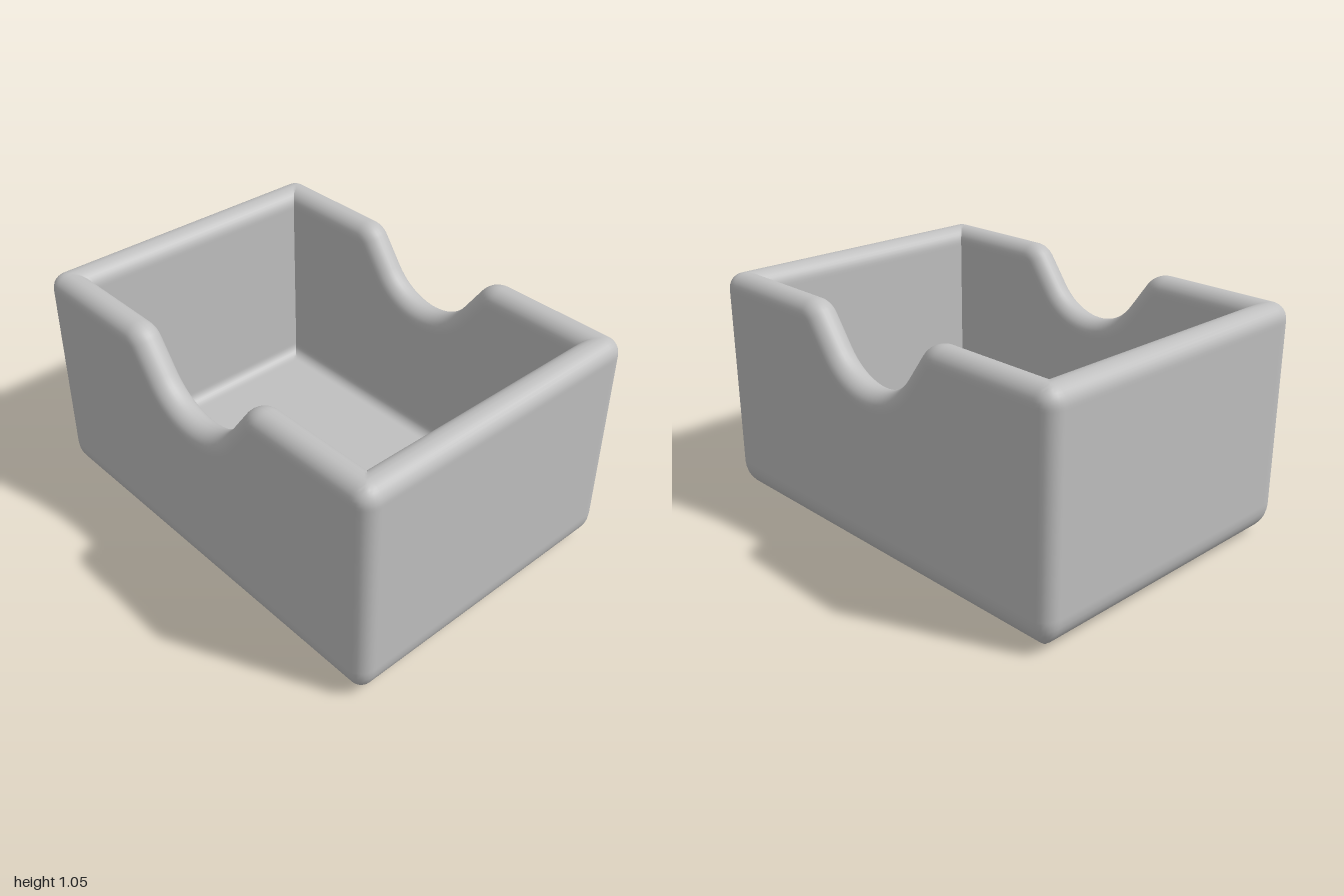
import * as THREE from 'three';
import { toCreasedNormals } from 'three/addons/utils/BufferGeometryUtils.js';

const W = 1, D = 0.72, H = 1.05;   // half width, half depth, height
const T = 0.145;                   // wall thickness
const R = 0.07;                    // rim and upright corner rounding
const B = 0.14;                    // bottom edge rounding
const FLOOR = 0.13, F = 0.05;      // inside floor height and its fillet
const GAP = 0.012;                 // keeps flat faces flat beside roundings

// Notch outline from +x to -x: point and upward normal of the rim
function notchOutline() {
  const slope = 0.942, r1 = 0.11, r2 = 0.28, x1 = 0.406, y2 = 0.765 + r2, half = [];
  for (let i = 0; i <= 6; i++) {
    const a = slope * i / 6;
    half.push({ x: x1 - r1 * Math.sin(a), y: H - r1 * (1 - Math.cos(a)), nx: -Math.sin(a), ny: Math.cos(a) });
  }
  for (let i = 0; i <= 10; i++) {
    const a = slope * (1 - i / 10);
    half.push({ x: r2 * Math.sin(a), y: y2 - r2 * Math.cos(a), nx: -Math.sin(a), ny: Math.cos(a) });
  }
  half.unshift({ x: x1 + GAP, y: H, nx: 0, ny: 1 });
  const other = half.slice(0, -1).reverse().map(p => ({ ...p, x: -p.x, nx: -p.nx }));
  return [...half, ...other];
}

// Stations around the box, from +x towards +z
function makeStations() {
  const list = [], notch = notchOutline();
  for (let c = 0; c < 4; c++) {
    const sx = c === 0 || c === 3 ? 1 : -1, sz = c < 2 ? 1 : -1;
    const alongX = c % 2 === 1;
    const before = alongX ? [-sx * GAP, 0] : [0, -sz * GAP];
    const after = alongX ? [0, -sz * GAP] : [-sx * GAP, 0];
    const start = c * Math.PI / 2;
    list.push({ sx, sz, a: start, shift: before });
    for (let i = 0; i <= 6; i++) list.push({ sx, sz, a: start + Math.PI / 12 * i, shift: [0, 0] });
    list.push({ sx, sz, a: start + Math.PI / 2, shift: after });
    if (c === 0) for (const p of notch) list.push({ p, side: 1 });
    if (c === 2) for (const p of [...notch].reverse()) list.push({ p, side: -1 });
  }
  return list;
}

// Profile rows: inset e, with fixed height y or depth d below the rim
function makeProfile() {
  const rows = [{ e: B + GAP, y: 0 }], n = 8;
  const quarter = i => Math.PI / 2 * i / n;
  for (let i = 0; i <= n; i++) rows.push({ e: B * (1 - Math.sin(quarter(i))), y: B * (1 - Math.cos(quarter(i))) });
  rows.push({ e: 0, y: B + GAP }, { e: 0, d: R + GAP });
  for (let i = 0; i <= n; i++) rows.push({ e: R * (1 - Math.cos(quarter(i))), d: R * (1 - Math.sin(quarter(i))) });
  for (let i = n; i >= 0; i--) rows.push({ e: T - R * (1 - Math.cos(quarter(i))), d: R * (1 - Math.sin(quarter(i))) });
  rows.push({ e: T, d: R + GAP }, { e: T, y: FLOOR + F + GAP });
  for (let i = 0; i <= n; i++) rows.push({ e: T + F * (1 - Math.cos(quarter(i))), y: FLOOR + F * (1 - Math.sin(quarter(i))) });
  rows.push({ e: T + F + GAP, y: FLOOR });
  return rows;
}

function place(s, row) {
  if (s.p) { // on the notched front or back wall
    const d = row.d ?? 0;
    return [s.p.x - s.p.nx * d, row.y ?? s.p.y - s.p.ny * d, s.side * (D - row.e)];
  }
  const inset = Math.max(row.e, R), r = Math.max(R - row.e, 0);
  return [
    s.sx * (W - inset) + r * Math.cos(s.a) + s.shift[0],
    row.y ?? H - row.d,
    s.sz * (D - inset) + r * Math.sin(s.a) + s.shift[1],
  ];
}

function trayGeometry() {
  const stations = makeStations(), rows = makeProfile(), pos = [];
  const grid = rows.map(row => stations.map(s => new THREE.Vector3(...place(s, row))));
  const ab = new THREE.Vector3(), ac = new THREE.Vector3();
  const tri = (a, b, c) => {
    ab.subVectors(b, a);
    ac.subVectors(c, a);
    if (ab.cross(ac).length() < 1e-9) return; // skip collapsed corners
    for (const v of [a, b, c]) pos.push(v.x, v.y, v.z);
  };
  const n = stations.length, last = grid[rows.length - 1];
  const under = new THREE.Vector3(0, 0, 0), floor = new THREE.Vector3(0, FLOOR, 0);
  for (let i = 0; i < n; i++) {
    const k = (i + 1) % n;
    for (let j = 0; j < rows.length - 1; j++) {
      tri(grid[j][i], grid[j + 1][i], grid[j][k]);
      tri(grid[j + 1][i], grid[j + 1][k], grid[j][k]);
    }
    tri(under, grid[0][i], grid[0][k]);
    tri(floor, last[k], last[i]);
  }
  const g = new THREE.BufferGeometry();
  g.setAttribute('position', new THREE.Float32BufferAttribute(pos, 3));
  return toCreasedNormals(g, 0.6);
}

export function createModel() {
  const grey = new THREE.MeshStandardMaterial({ color: 0xc0c0c0 });
  grey.name = 'grey';
  const tray = new THREE.Mesh(trayGeometry(), grey);
  tray.name = 'notchedTray';
  const model = new THREE.Group();
  model.name = 'cardTray';
  model.add(tray);
  return model;
}
